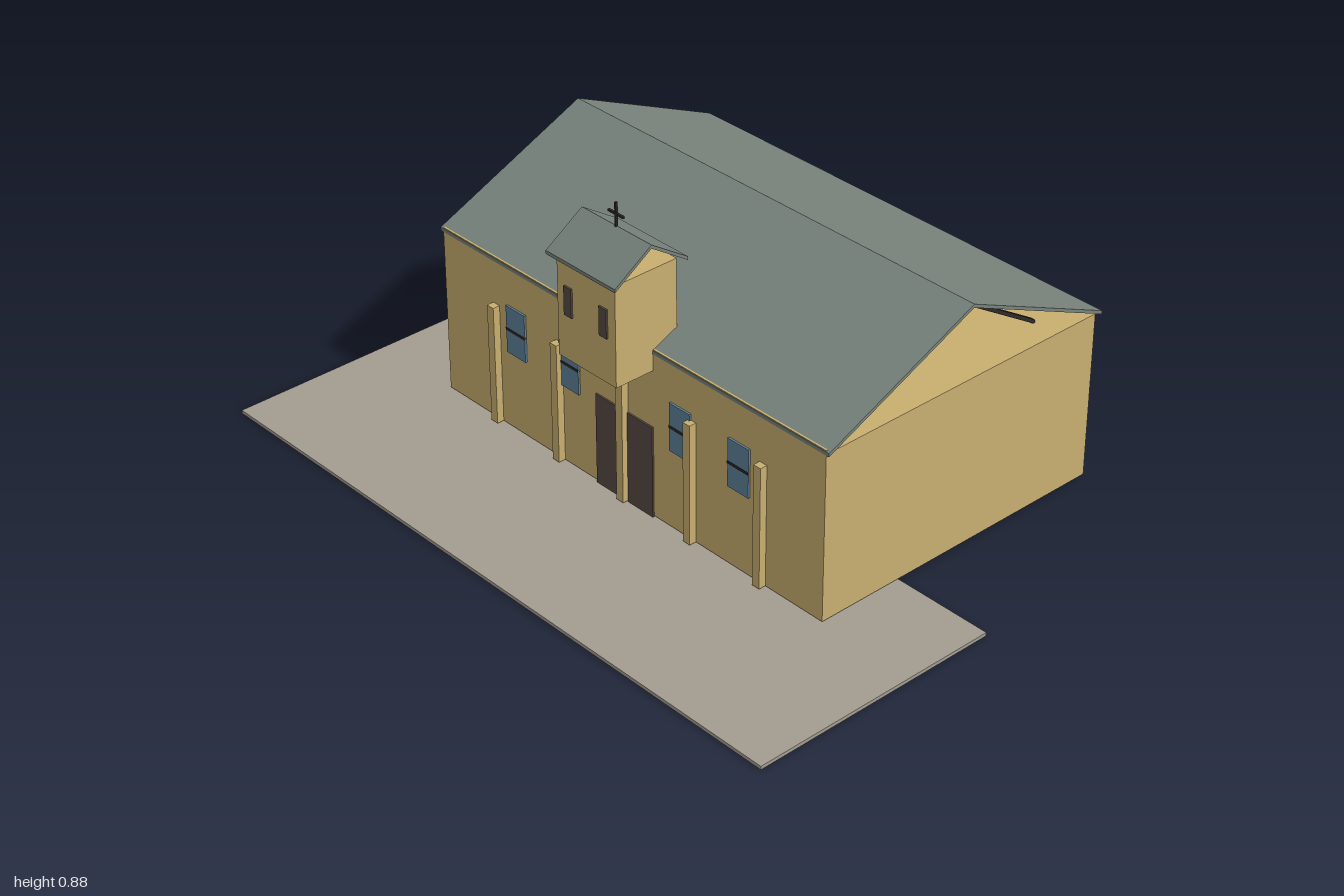
import * as THREE from 'three';

const mat = (name, color) => {
  const m = new THREE.MeshStandardMaterial({ color });
  m.name = name;
  return m;
};

export function createModel() {
  const wall = mat('ochre wall', 0xc9af70);
  const roof = mat('grey green roof', 0x78837c);
  const paving = mat('paving', 0xa39c90);
  const wood = mat('dark brown door', 0x574a45);
  const glass = mat('blue glass', 0x5f8299);
  const dark = mat('dark timber', 0x2f2a28);

  const group = new THREE.Group();
  const add = (name, geometry, material) => {
    const mesh = new THREE.Mesh(geometry, material);
    mesh.name = name;
    group.add(mesh);
    return mesh;
  };
  // box given by its limits on each axis
  const box = (name, material, x0, x1, y0, y1, z0, z1) =>
    add(name, new THREE.BoxGeometry(x1 - x0, y1 - y0, z1 - z0), material)
      .position.set((x0 + x1) / 2, (y0 + y1) / 2, (z0 + z1) / 2);
  // thin inverted V running along x
  const gable = (name, material, x, width, z, half, eave, ridge, t) => {
    const s = new THREE.Shape([
      [-half, eave], [-half, eave - t], [0, ridge - t], [half, eave - t], [half, eave], [0, ridge],
    ].map(([a, b]) => new THREE.Vector2(a, b)));
    const g = new THREE.ExtrudeGeometry(s, { depth: width, bevelEnabled: false });
    g.translate(0, 0, -width / 2).rotateY(-Math.PI / 2);
    add(name, g, material).position.set(x, 0, z);
  };

  // forecourt and main hall
  box('forecourt', paving, -1, 1, 0, 0.01, -0.02, 0.72);
  box('hall', wall, -0.71, 0.71, 0.015, 0.495, -0.692, 0.232);
  box('facade', wall, -0.71, 0.71, 0.015, 0.506, 0.23, 0.244);

  // open gabled roof on rafters
  gable('mainRoof', roof, 0, 1.44, -0.23, 0.475, 0.503, 0.714, 0.01);
  for (const x of [-0.63, -0.315, 0, 0.315, 0.63])
    gable('rafters', dark, x, 0.015, -0.23, 0.32, 0.503, 0.7, 0.012);

  // pilasters front and back, narrow windows behind the back ones
  for (const x of [-0.5, -0.25, 0, 0.25, 0.5]) {
    box('frontPilaster', wall, x - 0.0125, x + 0.0125, 0.015, 0.367, 0.235, 0.265);
    box('backPilaster', wall, x - 0.0125, x + 0.0125, 0.015, 0.367, -0.727, -0.697);
    box('backWindow', dark, x - 0.035, x + 0.035, 0.205, 0.35, -0.698, -0.69);
  }

  for (const s of [-1, 1]) {
    // double door
    box('doorLeaf', wood, s * 0.06 - 0.047, s * 0.06 + 0.047, 0.012, 0.28, 0.241, 0.249);
    // front windows with a crossbar
    for (const x of [0.208, 0.418]) {
      box('frontWindow', glass, s * x - 0.037, s * x + 0.037, 0.245, 0.385, 0.242, 0.25);
      box('windowBar', dark, s * x - 0.037, s * x + 0.037, 0.313, 0.32, 0.244, 0.252);
    }
    // belfry slits
    box('belfryWindow', wood, s * 0.065 - 0.014, s * 0.065 + 0.014, 0.573, 0.655, 0.361, 0.368);
  }

  // belfry with its own roof and cross
  box('belfry', wall, -0.107, 0.107, 0.445, 0.732, 0.165, 0.363);
  gable('belfryRoof', roof, 0, 0.254, 0.263, 0.117, 0.738, 0.815, 0.01);
  box('crossPost', dark, -0.003, 0.003, 0.808, 0.88, 0.26, 0.266);
  box('crossArm', dark, -0.028, 0.028, 0.845, 0.851, 0.26, 0.266);

  return group;
}
